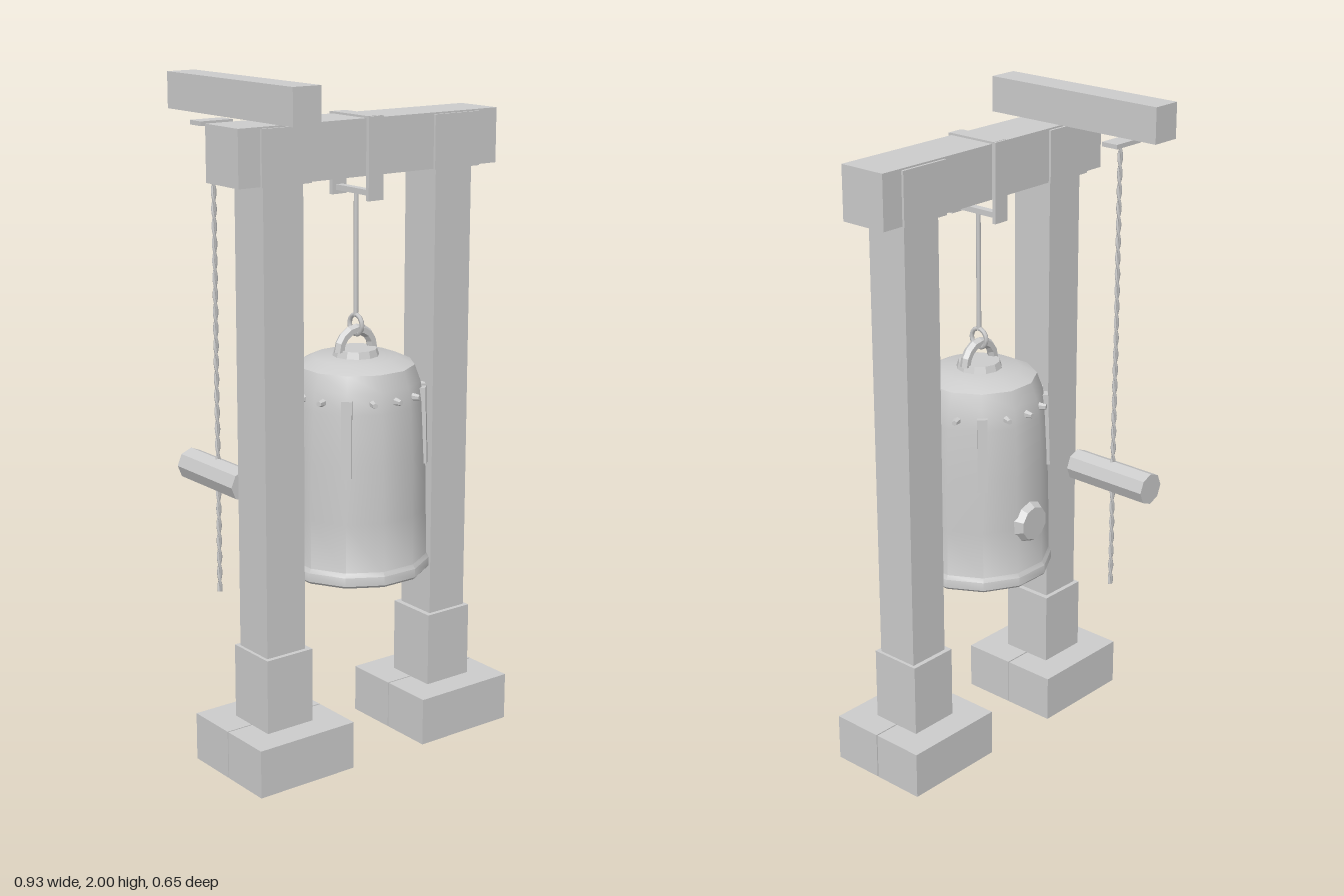
import * as THREE from 'three';
import { toCreasedNormals } from 'three/addons/utils/BufferGeometryUtils.js';

const mat = new THREE.MeshStandardMaterial({ color: 0xcccccc });
const flat = new THREE.MeshStandardMaterial({ color: 0xcccccc, flatShading: true });
const FRAME_Z = 0.106; // depth of the frame and bell axis

export function createModel() {
  const root = new THREE.Group();

  const add = (name, geometry, x, y, z, parent = root, material = flat) => {
    const mesh = new THREE.Mesh(geometry, material);
    mesh.name = name;
    mesh.position.set(x, y, z);
    parent.add(mesh);
    return mesh;
  };
  // box from its centre in x and z and its bottom and top heights
  const box = (name, x, z, w, d, y0, y1, parent = root) =>
    add(name, new THREE.BoxGeometry(w, y1 - y0, d), x, (y0 + y1) / 2, z, parent);

  // Two posts, each on a split stone base
  for (const s of [-1, 1]) {
    const side = new THREE.Group();
    side.name = s > 0 ? 'leftPost' : 'rightPost';
    root.add(side);
    for (const k of [-1, 1])
      box('baseStone', s * 0.298, FRAME_Z + k * 0.084, 0.332, 0.164, 0, 0.145, side);
    box('postSleeve', s * 0.3, FRAME_Z, 0.16, 0.164, 0.145, 0.37, side);
    box('post', s * 0.303, FRAME_Z, 0.134, 0.136, 0.37, 1.74, side);
    box('beamCollar', s * 0.302, FRAME_Z, 0.166, 0.17, 1.728, 1.885, side);
  }

  // Beams
  box('mainBeam', 0, FRAME_Z, 0.912, 0.155, 1.73, 1.89);
  box('strikerBeam', -0.3, -0.025, 0.093, 0.61, 1.895, 2);

  // Strap over the main beam that carries the bell
  const strap = new THREE.Group();
  strap.name = 'bellStrap';
  root.add(strap);
  for (const k of [-1, 1]) box('strapPlate', 0, FRAME_Z + k * 0.084, 0.052, 0.012, 1.66, 1.895, strap);
  box('strapTop', 0, FRAME_Z, 0.052, 0.168, 1.888, 1.896, strap);
  box('strapBar', 0, FRAME_Z, 0.024, 0.168, 1.672, 1.688, strap);

  // Bell group, its axis in the plane of the frame
  const bell = new THREE.Group();
  bell.name = 'bell';
  bell.position.z = FRAME_Z;
  root.add(bell);
  add('bellRod', new THREE.CylinderGeometry(0.007, 0.007, 0.36, 8), 0, 1.495, 0, bell, mat);
  const ring = add('hangingRing', new THREE.TorusGeometry(0.029, 0.007, 6, 14), 0, 1.291, 0, bell, mat);
  ring.rotation.y = Math.PI / 2;
  add('bellArch', new THREE.TorusGeometry(0.06, 0.016, 6, 8, Math.PI), 0, 1.217, 0, bell);
  add('bellCrown', new THREE.CylinderGeometry(0.062, 0.07, 0.024, 12), 0, 1.21, 0, bell);

  // Hollow twelve-sided wall: down the inside, round the rim, up the outside
  const outline = [
    [0, 1.17], [0.11, 1.17], [0.148, 1.15], [0.168, 1.08], [0.183, 0.85], [0.188, 0.56],
    [0.206, 0.56], [0.212, 0.567], [0.212, 0.593], [0.204, 0.605], [0.202, 0.75], [0.198, 0.92],
    [0.191, 1.07], [0.183, 1.13], [0.166, 1.178], [0.12, 1.2], [0, 1.204],
  ].map(([r, y]) => new THREE.Vector2(r * 1.035, y));
  const wall = new THREE.LatheGeometry(outline, 12);
  wall.rotateY(Math.PI / 12);
  add('bellWall', toCreasedNormals(wall, 0.6), 0, 0, 0, bell, mat);

  // Studs around the shoulder, with an upright rib in place of every fourth
  const studGeo = new THREE.CylinderGeometry(0.008, 0.013, 0.03, 6);
  studGeo.rotateX(Math.PI / 2);
  for (let i = 0; i < 16; i++) {
    const arm = new THREE.Group();
    arm.name = i % 4 === 2 ? 'ribArm' : 'studArm';
    arm.rotation.y = (i * Math.PI) / 8;
    bell.add(arm);
    if (i % 4 === 2) {
      const rib = box('rib', 0, 0.199, 0.03, 0.018, 0.885, 1.112, arm);
      rib.rotation.x = -0.03;
    } else add('stud', studGeo, 0, 1.1, 0.195, arm);
  }

  // Striking disc on the back of the bell
  const disc = add('strikingDisc', new THREE.CylinderGeometry(0.052, 0.07, 0.03, 10), 0, 0.757, -0.206, bell);
  disc.rotation.x = -Math.PI / 2;

  // Striker: log, hanger plate and two twisted strands
  const log = add('strikerLog', new THREE.CylinderGeometry(0.049, 0.049, 0.287, 8), -0.3, 0.828, -0.172);
  log.rotation.x = Math.PI / 2;
  box('hangerPlate', -0.302, -0.172, 0.11, 0.055, 1.861, 1.874);
  const rope = new THREE.Group();
  rope.name = 'strikerRope';
  rope.position.set(-0.3, 0.46, -0.17);
  root.add(rope);
  for (const phase of [0, Math.PI]) {
    const points = [];
    for (let i = 0; i <= 112; i++) {
      const a = (i * Math.PI) / 4 + phase;
      points.push(new THREE.Vector3(0.004 * Math.cos(a), i * 0.0125, 0.004 * Math.sin(a)));
    }
    add('ropeStrand', new THREE.TubeGeometry(new THREE.CatmullRomCurve3(points), 160, 0.0045, 5), 0, 0, 0, rope, mat);
  }

  return root;
}
